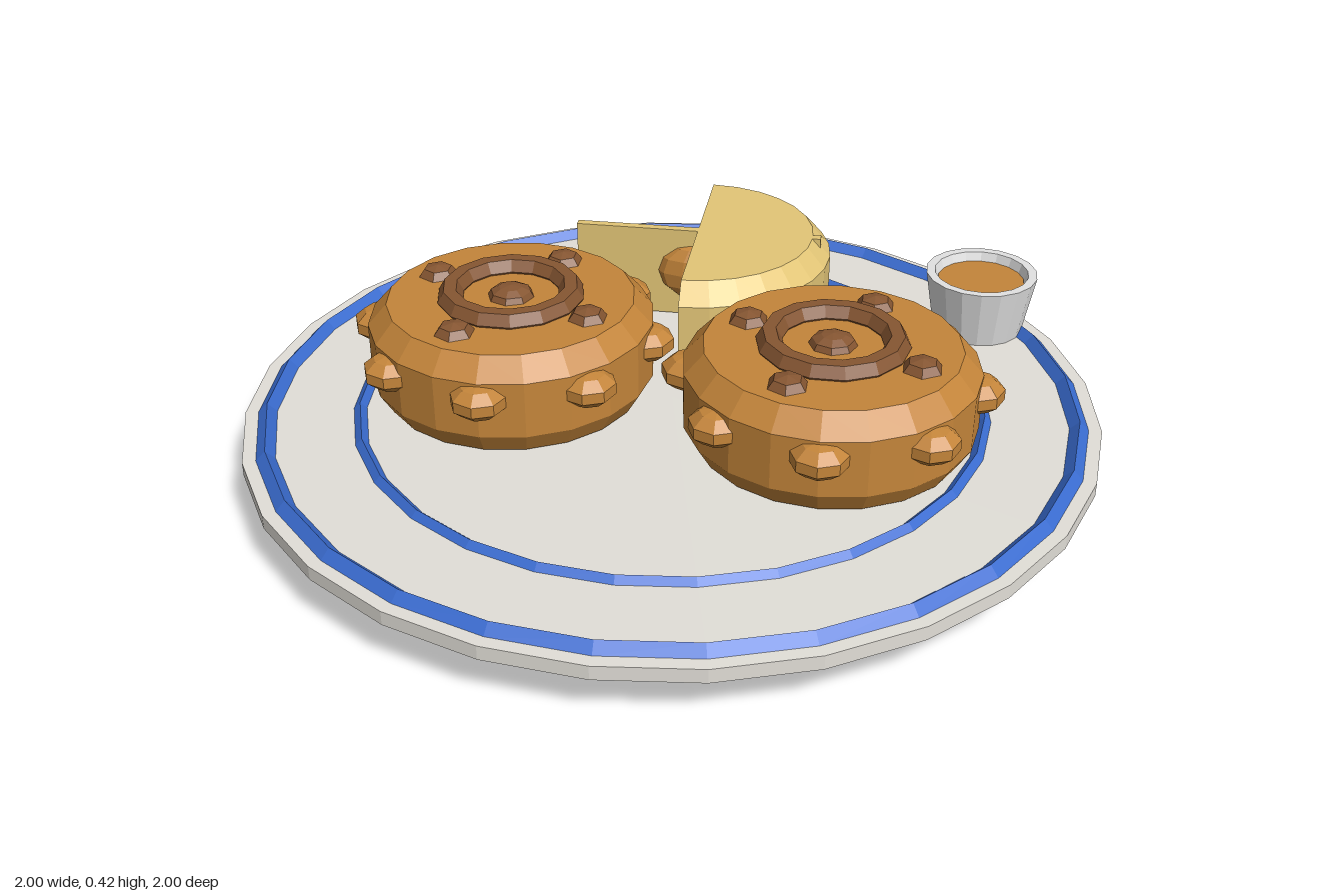
import * as THREE from 'three';

function mat(name, color) {
  const m = new THREE.MeshStandardMaterial({ color, flatShading: true });
  m.name = name;
  return m;
}

const v = (pts) => pts.map(([x, y]) => new THREE.Vector2(x, y));

export function createModel() {
  const porcelain = mat('porcelain', 0xe2dfd8);
  const blue = mat('blueGlaze', 0x3a6cd0);
  const crust = mat('crust', 0xc4853a);
  const darkCrust = mat('darkCrust', 0x865632);
  const pale = mat('paleDough', 0xe3c677);
  const cupWhite = mat('cupWhite', 0xe2e2e2);

  const model = new THREE.Group();
  model.name = 'platter';

  function add(parent, name, geo, material, x = 0, y = 0, z = 0) {
    const mesh = new THREE.Mesh(geo, material);
    mesh.name = name;
    mesh.position.set(x, y, z);
    parent.add(mesh);
    return mesh;
  }

  // Plate with a sloped foot and a flared rim
  add(model, 'plate', new THREE.LatheGeometry(v([
    [0, 0], [0.86, 0], [0.885, 0.07], [1, 0.11], [1, 0.143], [0, 0.146],
  ]), 28), porcelain);

  // Painted raised rings
  for (const [name, r, tube] of [['outerRing', 0.948, 0.023], ['innerRing', 0.733, 0.017]]) {
    const geo = new THREE.TorusGeometry(r, tube, 4, 28).rotateX(-Math.PI / 2);
    add(model, name, geo, blue, 0, 0.142, 0);
  }

  // Rounded pastry profile shared by the buns and the half wheel
  const profile = [[0, 0], [0.305, 0], [0.335, 0.05], [0.335, 0.185], [0.29, 0.235], [0, 0.235]];

  // Studded buns
  function bun(name, x, z) {
    const g = new THREE.Group();
    g.name = name;
    g.position.set(x, 0.15, z);
    model.add(g);
    add(g, 'bunBody', new THREE.LatheGeometry(v(profile), 20), crust);
    for (let i = 0; i < 8; i++) {
      const a = (i * Math.PI) / 4;
      const stud = add(g, 'sideStud', new THREE.SphereGeometry(0.068, 8, 5), crust,
        Math.sin(a) * 0.32, 0.14, Math.cos(a) * 0.32);
      stud.scale.y = 0.62;
      stud.rotation.y = a;
    }
    add(g, 'topRing', new THREE.TorusGeometry(0.143, 0.03, 6, 14).rotateX(-Math.PI / 2),
      darkCrust, 0, 0.24, 0);
    const knob = add(g, 'knob', new THREE.SphereGeometry(0.055, 8, 6), darkCrust, 0, 0.235, 0);
    knob.scale.y = 0.5;
    for (let i = 0; i < 4; i++) {
      const a = Math.PI / 8 + (i * Math.PI) / 2;
      const stud = add(g, 'topStud', new THREE.SphereGeometry(0.047, 6, 4).rotateY(Math.PI / 6),
        darkCrust, Math.cos(a) * 0.215, 0.235, Math.sin(a) * 0.215);
      stud.scale.y = 0.55;
    }
  }
  bun('leftBun', -0.38, 0);
  bun('rightBun', 0.38, 0.12);

  // Half wheel with its flat cut face
  const wheel = new THREE.Group();
  wheel.name = 'halfWheel';
  wheel.position.set(0, 0.15, -0.43);
  model.add(wheel);
  add(wheel, 'wheelBody', new THREE.LatheGeometry(v(profile), 14, 0, Math.PI), pale);
  const right = profile.slice(1, -1);
  const left = right.map(([x, y]) => [-x, y]).reverse();
  add(wheel, 'cutFace', new THREE.ShapeGeometry(new THREE.Shape(v([...right, ...left])))
    .rotateY(-Math.PI / 2), pale);

  // Thin slice through the cut, with a filling
  add(wheel, 'slice', new THREE.BoxGeometry(0.62, 0.235, 0.022), pale, 0, 0.1175, 0);
  const filling = add(wheel, 'filling', new THREE.SphereGeometry(1, 10, 6), crust, -0.005, 0.12, 0.008);
  filling.scale.set(0.098, 0.075, 0.037);

  // Sauce cup
  const cup = new THREE.Group();
  cup.name = 'sauceCup';
  cup.position.set(0.715, 0.145, -0.48);
  model.add(cup);
  add(cup, 'cupBody', new THREE.LatheGeometry(v([
    [0, 0], [0.112, 0], [0.139, 0.152], [0.117, 0.152], [0.105, 0.115],
  ]), 18), cupWhite);
  add(cup, 'sauce', new THREE.CylinderGeometry(0.108, 0.1, 0.02, 18), crust, 0, 0.12, 0);

  return model;
}
